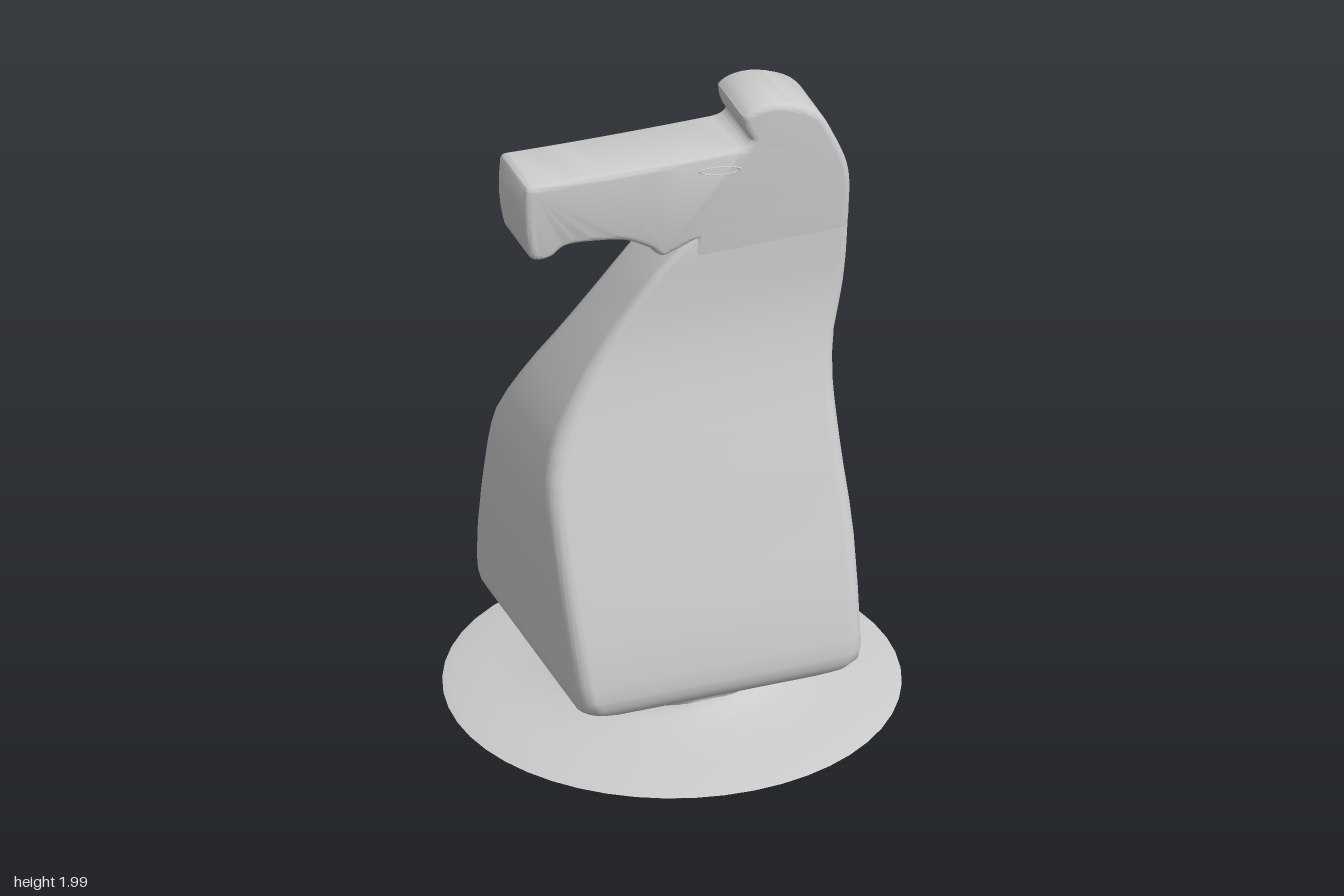
import * as THREE from 'three';
import { toCreasedNormals } from 'three/addons/utils/BufferGeometryUtils.js';

const material = new THREE.MeshStandardMaterial({ color: 0xcccccc });
const ARC = 12; // segments in each rounded corner

// Rounded rectangle in the xz plane: left x, right x, half depth, corner radius
function section([y, xl, xr, hz, r]) {
  const cx = (xl + xr) / 2, hx = (xr - xl) / 2, points = [];
  const rad = Math.min(r, hx, hz);
  for (let q = 0; q < 4; q++) {
    const sx = q === 0 || q === 3 ? 1 : -1, sz = q < 2 ? 1 : -1;
    for (let i = 0; i <= ARC; i++) {
      const a = (q + i / ARC) * Math.PI / 2;
      points.push([cx + sx * (hx - rad) + rad * Math.cos(a), y, sz * (hz - rad) + rad * Math.sin(a)]);
    }
  }
  return points;
}

// Skin a stack of sections and close both ends
function loft(rows) {
  const rings = rows.map(section), n = rings[0].length, positions = rings.flat(2), index = [];
  for (let j = 0; j < rings.length - 1; j++) {
    for (let i = 0; i < n; i++) {
      const a = j * n + i, b = j * n + (i + 1) % n;
      index.push(a, a + n, b, b, a + n, b + n);
    }
  }
  const top = (rings.length - 1) * n, bottomCentre = rings.length * n;
  for (const row of [rows[0], rows[rows.length - 1]]) positions.push((row[1] + row[2]) / 2, row[0], 0);
  for (let i = 0; i < n; i++) {
    const k = (i + 1) % n;
    index.push(bottomCentre, i, k, bottomCentre + 1, top + k, top + i);
  }
  const geometry = new THREE.BufferGeometry();
  geometry.setAttribute('position', new THREE.Float32BufferAttribute(positions, 3));
  geometry.setIndex(index);
  return toCreasedNormals(geometry, 0.75);
}

function add(parent, name, geometry) {
  const mesh = new THREE.Mesh(geometry, material);
  mesh.name = name;
  parent.add(mesh);
  return mesh;
}

export function createModel() {
  const knight = new THREE.Group();
  knight.name = 'chessKnight';

  // Thin round foot sweeping up to the waist
  const disc = [[0.005, 0.66], [0.015, 0.676], [0.022, 0.65], [0.036, 0.54], [0.05, 0.45],
    [0.066, 0.37], [0.08, 0.32], [0.094, 0.296], [0.11, 0.288]];
  add(knight, 'foot', loft(disc.map(([y, r]) => [y, -r - 0.004, r - 0.002, r, r])));

  // Tapering body and neck: y, left x, right x, half depth, corner radius
  add(knight, 'body', loft([
    [0.1, -0.294, 0.284, 0.287, 0.28],
    [0.115, -0.296, 0.285, 0.287, 0.26],
    [0.13, -0.308, 0.293, 0.296, 0.23],
    [0.15, -0.335, 0.315, 0.32, 0.19],
    [0.175, -0.385, 0.36, 0.37, 0.14],
    [0.195, -0.418, 0.395, 0.408, 0.1],
    [0.215, -0.441, 0.42, 0.434, 0.08],
    [0.24, -0.455, 0.434, 0.448, 0.065],
    [0.27, -0.462, 0.438, 0.449, 0.06],
    [0.32, -0.467, 0.439, 0.44, 0.055],
    [0.45, -0.476, 0.444, 0.404, 0.05],
    [0.6, -0.484, 0.45, 0.355, 0.05],
    [0.7, -0.488, 0.449, 0.32, 0.05],
    [0.8, -0.49, 0.444, 0.286, 0.05],
    [0.87, -0.489, 0.442, 0.262, 0.05],
    [0.93, -0.481, 0.441, 0.242, 0.05],
    [1.0, -0.457, 0.441, 0.217, 0.05],
    [1.06, -0.427, 0.443, 0.197, 0.05],
    [1.13, -0.382, 0.449, 0.175, 0.045],
    [1.2, -0.332, 0.462, 0.155, 0.045],
    [1.27, -0.279, 0.482, 0.138, 0.04],
    [1.34, -0.223, 0.498, 0.126, 0.035],
    [1.42, -0.155, 0.508, 0.119, 0.03],
    [1.5, -0.085, 0.514, 0.116, 0.03],
    [1.56, -0.015, 0.517, 0.114, 0.03],
    [1.6, 0.04, 0.512, 0.11, 0.03],
  ]));

  // Head profile with jaw, muzzle, ear tuft and crest
  const s = new THREE.Shape();
  s.moveTo(0.0, 1.46);
  s.lineTo(0.03, 1.58);
  s.quadraticCurveTo(-0.02, 1.56, -0.07, 1.545);
  s.quadraticCurveTo(-0.09, 1.55, -0.11, 1.58);
  s.bezierCurveTo(-0.17, 1.615, -0.18, 1.63, -0.27, 1.64);
  s.quadraticCurveTo(-0.34, 1.65, -0.37, 1.648);
  s.bezierCurveTo(-0.41, 1.645, -0.4, 1.617, -0.45, 1.615);
  s.quadraticCurveTo(-0.485, 1.612, -0.495, 1.64);
  s.quadraticCurveTo(-0.514, 1.72, -0.512, 1.8);
  s.lineTo(-0.508, 1.86);
  s.quadraticCurveTo(-0.504, 1.878, -0.48, 1.876);
  s.quadraticCurveTo(-0.2, 1.864, 0.16, 1.864);
  s.quadraticCurveTo(0.195, 1.865, 0.205, 1.885);
  s.quadraticCurveTo(0.178, 1.925, 0.18, 1.97);
  s.bezierCurveTo(0.2, 1.995, 0.26, 2.01, 0.33, 1.985);
  s.bezierCurveTo(0.43, 1.95, 0.44, 1.91, 0.47, 1.845);
  s.bezierCurveTo(0.51, 1.76, 0.522, 1.72, 0.519, 1.64);
  s.lineTo(0.515, 1.55);
  s.lineTo(0.49, 1.46);
  s.closePath();
  const bevel = 0.022, half = 0.115;
  const head = new THREE.ExtrudeGeometry(s, {
    depth: 2 * (half - bevel), bevelThickness: bevel, bevelSize: bevel, bevelOffset: -bevel,
    bevelSegments: 5, curveSegments: 8,
  });
  head.translate(0, 0, -(half - bevel));
  add(knight, 'head', toCreasedNormals(head, 0.75));

  // Narrow slanted eyelids on both sides
  for (const side of [1, -1]) {
    const eye = add(knight, side > 0 ? 'frontEye' : 'backEye', new THREE.TorusGeometry(0.06, 0.006, 8, 32));
    eye.scale.set(1.05, 0.22, 0.6);
    eye.rotation.z = -0.13;
    eye.position.set(0.105, 1.808, side * half);
  }

  for (const part of knight.children) part.position.z -= 0.003;
  return knight;
}
